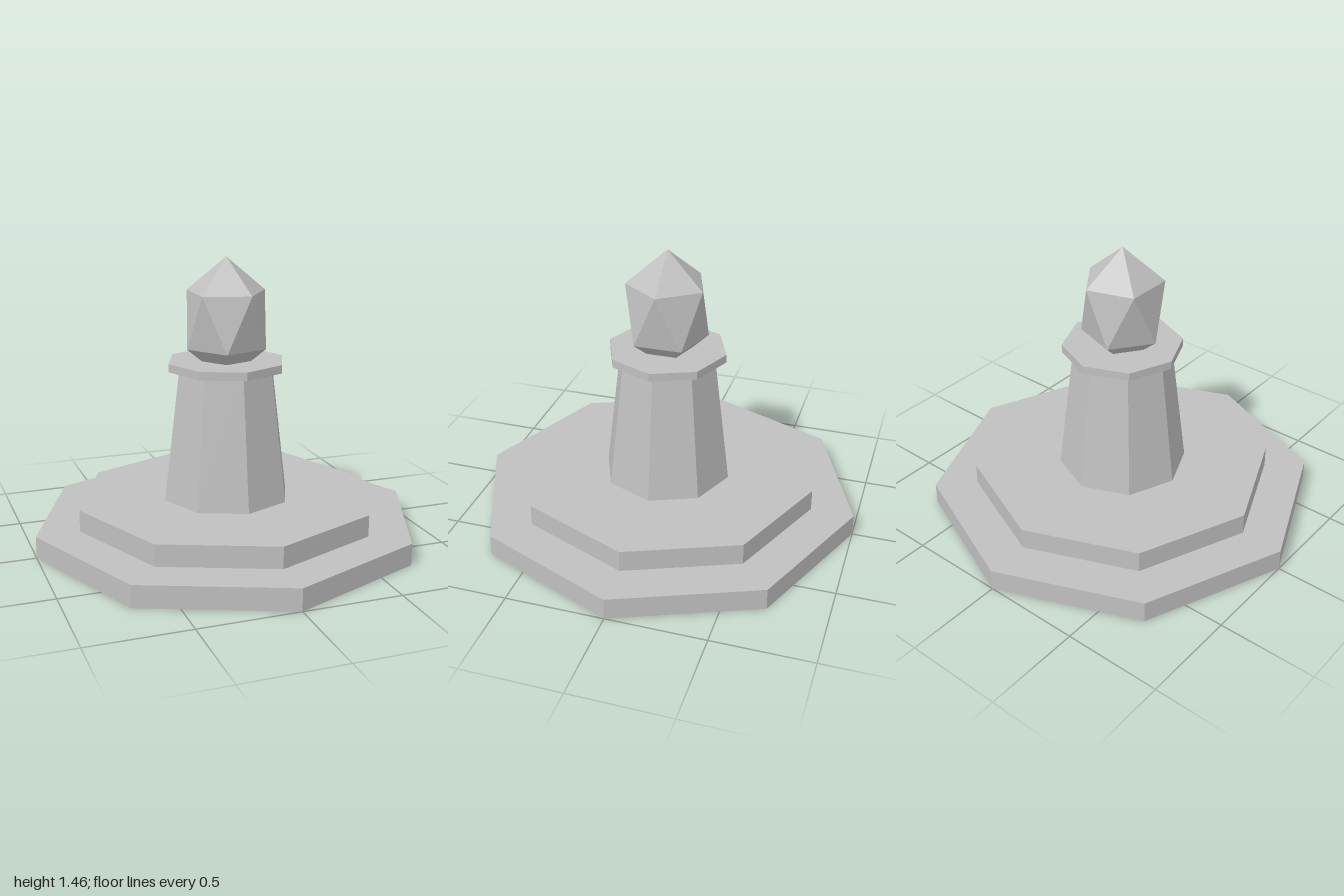
import * as THREE from 'three';

export function createModel() {
  const group = new THREE.Group();
  const stone = new THREE.MeshStandardMaterial({ color: 0xc0c0c0, flatShading: true });
  stone.name = 'grey stone';

  function add(name, geometry, y) {
    const mesh = new THREE.Mesh(geometry, stone);
    mesh.name = name;
    mesh.position.y = y;
    group.add(mesh);
  }

  // Stacked octagonal tiers: name, top radius, bottom radius, bottom y, top y
  const tiers = [
    ['lowerStep', 1, 1, 0, 0.112],
    ['upperStep', 0.778, 0.778, 0.112, 0.223],
    ['taperedColumn', 0.25, 0.332, 0.223, 0.893],
    ['columnCap', 0.305, 0.305, 0.893, 0.935],
  ];
  for (const [name, rTop, rBottom, y0, y1] of tiers) {
    add(name, new THREE.CylinderGeometry(rTop, rBottom, y1 - y0, 8), (y0 + y1) / 2);
  }

  // Tall crystal: icosahedron stood on a corner, stretched upward, sunk into the cap
  const crystal = new THREE.IcosahedronGeometry(1, 0);
  crystal.rotateZ(-Math.atan(2 / (1 + Math.sqrt(5))));
  crystal.scale(0.231, 0.315, 0.231);
  add('crystal', crystal, 1.141);

  return group;
}
